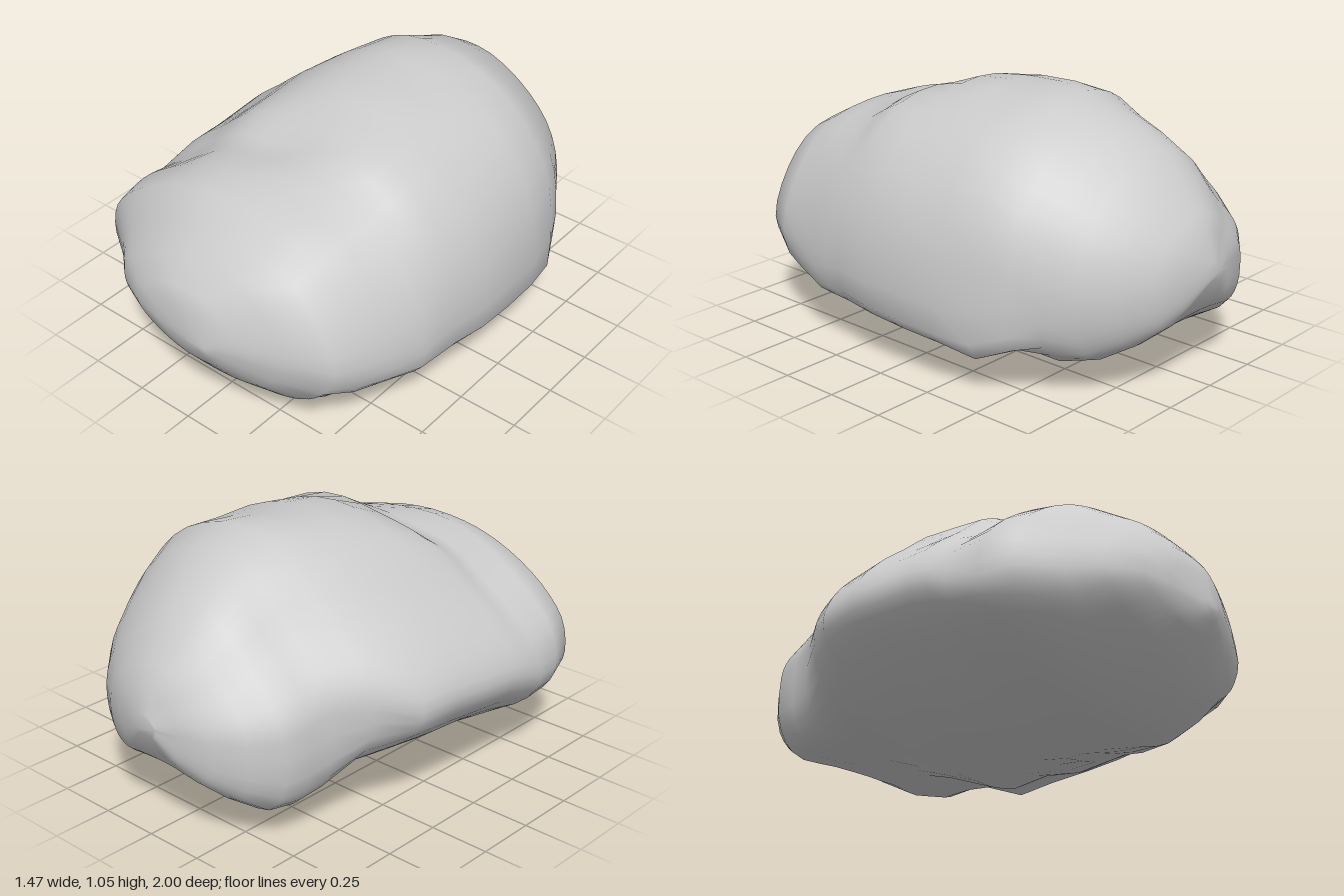
import * as THREE from 'three';

const { lerp, smoothstep } = THREE.MathUtils;

// Stations from back to front: z, left edge, right edge, top, bottom, rim height, overhang
const STATIONS = [
  [-1.0, -0.05, 0.06, 0.50, 0.42, 0.46, 0],
  [-0.97, -0.14, 0.18, 0.60, 0.34, 0.38, 0],
  [-0.93, -0.27, 0.28, 0.67, 0.27, 0.32, 0],
  [-0.85, -0.38, 0.40, 0.77, 0.20, 0.27, 0],
  [-0.75, -0.46, 0.50, 0.87, 0.135, 0.24, 0],
  [-0.64, -0.48, 0.57, 0.94, 0.12, 0.20, 0.01],
  [-0.54, -0.50, 0.63, 0.99, 0.13, 0.18, 0.06],
  [-0.41, -0.59, 0.69, 1.04, 0.10, 0.17, 0.10],
  [-0.25, -0.69, 0.72, 1.03, 0.05, 0.18, 0.12],
  [-0.07, -0.72, 0.73, 1.03, 0.05, 0.19, 0.13],
  [0.10, -0.73, 0.73, 1.01, 0.04, 0.20, 0.12],
  [0.25, -0.735, 0.71, 1.00, 0.015, 0.21, 0.11],
  [0.34, -0.735, 0.70, 0.96, 0.01, 0.215, 0.10],
  [0.43, -0.735, 0.69, 0.91, 0.0, 0.22, 0.09],
  [0.57, -0.71, 0.65, 0.87, 0.0, 0.24, 0.07],
  [0.69, -0.67, 0.62, 0.83, 0.05, 0.25, 0.04],
  [0.80, -0.51, 0.57, 0.77, 0.12, 0.28, 0],
  [0.89, -0.41, 0.40, 0.68, 0.20, 0.31, 0],
  [0.96, -0.27, 0.24, 0.60, 0.29, 0.35, 0],
  [0.985, -0.14, 0.17, 0.53, 0.34, 0.38, 0],
  [1.0, 0.04, 0.12, 0.43, 0.38, 0.40, 0],
];
const SIDES = 48;

// Cross-section: domed top, sloping left flank, right rim hanging over a belly
function section([z, l, r, top, bottom, rim, over]) {
  const w = r - l;
  const mid = bottom + (top - bottom) * 0.43;
  const up = (u, v) => new THREE.Vector3(l + u * w, mid + v * (top - mid), z);
  const down = (u, v) => new THREE.Vector3(l + u * w, mid + v * (bottom - mid), z);
  const low = Math.min(rim, mid);
  const hard = Math.min(1, over / 0.08);
  // Blend a soft rounded corner into the hard undercut rim
  const edge = (u, v, x, y) => down(u, v).lerp(new THREE.Vector3(x, y, z), hard);
  // The front left is full, the back drops to a low flat base
  const full = smoothstep(z, 0.35, 0.65);
  const foot = smoothstep(-z, 0.3, 0.58);
  const points = [
    up(0, 0), up(lerp(0.03, 0.015, full), lerp(0.2, 0.3, full)),
    up(lerp(0.1, 0.08, full), lerp(0.4, 0.53, full)),
    up(0.19, lerp(0.59, 0.76, full)), up(0.31, lerp(0.86, 0.92, full)), up(0.44, 1),
    up(0.62, lerp(1, 0.98, foot)), up(0.81, lerp(lerp(0.83, 0.87, full), 0.75, foot)),
    up(0.94, lerp(0.47, 0.42, foot)), up(1, 0),
    edge(lerp(0.95, 0.985, foot), lerp(0.45, 0.5, foot), r - 0.015 * w, low),
    edge(lerp(0.9, 0.93, foot), lerp(0.65, 0.82, foot), r - 0.05 * w - over, low + over * 0.1),
    edge(lerp(0.83, 0.84, foot), lerp(0.82, 0.97, foot), r - 0.09 * w - over, lerp(low, bottom, 0.55)),
    down(0.71, 0.95), down(0.52, lerp(1, 0.93, foot)),
    down(0.34, lerp(0.88, 0.95, foot)),
    down(lerp(0.15, 0.1, foot), lerp(0.58, 1, foot)),
    down(lerp(0.03, 0.01, foot), lerp(0.25, 0.7, foot)),
  ];
  return new THREE.CatmullRomCurve3(points, true, 'centripetal').getPoints(SIDES).slice(0, SIDES);
}

// Gentle lumps, roughest under the overhang, and a hollow behind the front dome
function weather(p) {
  const fade = 1 - p.z * p.z;
  const n = Math.sin(p.x * 9 + p.z * 5) * Math.sin(p.z * 11 - p.y * 6 + 1);
  const rough = p.y < 0.2 && p.x > 0.2 ? 0.02 : 0.008;
  const hollow = Math.exp(-(((p.x + 0.1) / 0.25) ** 2) - ((p.z - 0.34) / 0.14) ** 2);
  p.y -= 0.08 * hollow * smoothstep(p.y, 0.5, 0.8);
  p.y = Math.max(0, p.y + n * rough * fade);
}

export function createModel() {
  const positions = [];
  const indices = [];
  STATIONS.forEach((station, i) => {
    section(station).forEach((p, j) => {
      weather(p);
      positions.push(p.x, p.y, p.z);
      if (i === STATIONS.length - 1) return;
      const a = i * SIDES + j;
      const b = i * SIDES + (j + 1) % SIDES;
      indices.push(a, a + SIDES, b, b, a + SIDES, b + SIDES);
    });
  });

  // Close the two small ends
  const last = (STATIONS.length - 1) * SIDES;
  for (let j = 1; j < SIDES - 1; j++) {
    indices.push(0, j, j + 1);
    indices.push(last, last + j + 1, last + j);
  }

  const geometry = new THREE.BufferGeometry();
  geometry.setAttribute('position', new THREE.Float32BufferAttribute(positions, 3));
  geometry.setIndex(indices);
  geometry.computeVertexNormals();

  const boulder = new THREE.Mesh(geometry, new THREE.MeshStandardMaterial({ color: 0xcccccc }));
  boulder.name = 'boulder';
  const group = new THREE.Group();
  group.name = 'rock';
  group.add(boulder);
  return group;
}
